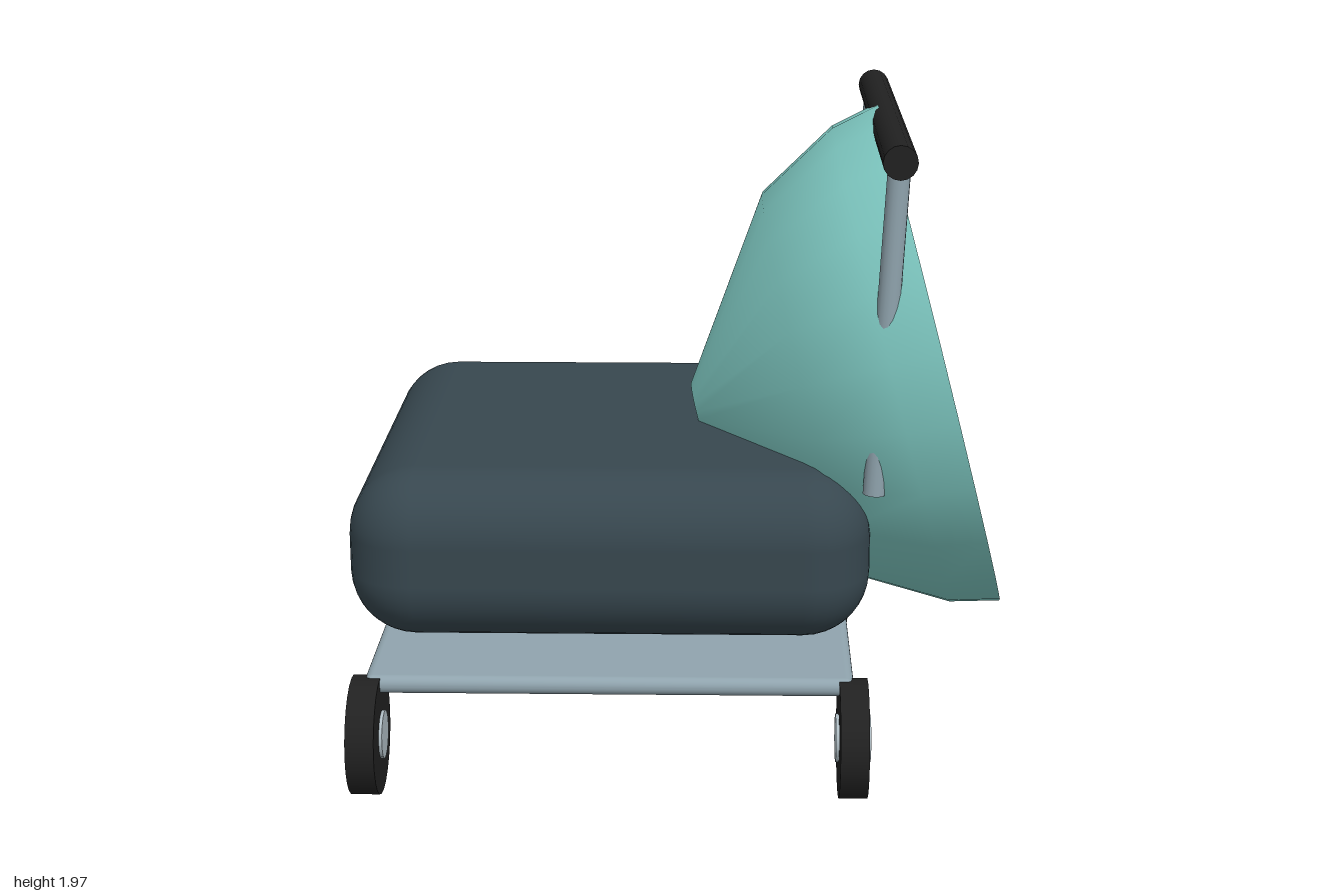
import * as THREE from 'three';
import { RoundedBoxGeometry } from 'three/addons/geometries/RoundedBoxGeometry.js';
import { toCreasedNormals } from 'three/addons/utils/BufferGeometryUtils.js';

const paint = (color) => new THREE.MeshStandardMaterial({ color });
const charcoal = paint(0x37474f);
const teal = paint(0x80cbc4);
const steel = paint(0x90a4ae);
const black = paint(0x212121);
const hubGrey = paint(0xb0bec5);
teal.side = THREE.DoubleSide;

function add(parent, name, geometry, material, x = 0, y = 0, z = 0) {
  const mesh = new THREE.Mesh(geometry, material);
  mesh.name = name;
  mesh.position.set(x, y, z);
  parent.add(mesh);
  return mesh;
}

// Round bar between two points
function rod(parent, name, from, to, radius, material) {
  const a = new THREE.Vector3(...from), b = new THREE.Vector3(...to);
  const mesh = add(parent, name, new THREE.CylinderGeometry(radius, radius, a.distanceTo(b), 16), material);
  mesh.position.copy(a).add(b).multiplyScalar(0.5);
  mesh.quaternion.setFromUnitVectors(new THREE.Vector3(0, 1, 0), b.sub(a).normalize());
  return mesh;
}

export function createModel() {
  const model = new THREE.Group();
  model.name = 'stroller';

  // Padded body and flat base
  add(model, 'cushion', new RoundedBoxGeometry(1.55, 0.515, 1.555, 5, 0.2), charcoal, -0.225, 0.72, 0);
  add(model, 'basePlate', new RoundedBoxGeometry(1.46, 0.056, 1.47, 4, 0.027), steel, -0.225, 0.336, 0);

  // Canopy: a thin tilted bowl, outer wall out to the rim and inner wall back
  const profile = [
    [0, -0.78], [0.095, -0.78], [0.626, -0.415], [0.774, -0.153], [0.807, 0],
    [0.79, 0], [0.758, -0.148], [0.614, -0.402], [0.083, -0.765], [0, -0.765],
  ].map(([r, a]) => new THREE.Vector2(r, a));
  const bowl = toCreasedNormals(new THREE.LatheGeometry(profile, 24), 0.53);
  add(model, 'canopy', bowl, teal, 0.785, 1.18, 0).rotation.z = -1.314;

  // Push handle with two leaning posts
  rod(model, 'handleBar', [0.605, 1.915, -0.725], [0.605, 1.915, 0.725], 0.05, black);
  for (const side of [-1, 1]) {
    rod(model, 'handlePost', [0.605, 1.9, side * 0.677], [0.553, 0.93, side * 0.677], 0.033, steel);
  }

  // Four wheels, each with a hub slightly proud of the tyre
  for (const x of [-0.948, 0.503]) {
    for (const z of [-0.725, 0.725]) {
      const wheel = new THREE.Group();
      wheel.name = 'wheel';
      wheel.position.set(x, 0.179, z);
      wheel.rotation.z = Math.PI / 2;
      add(wheel, 'tyre', new THREE.CylinderGeometry(0.179, 0.179, 0.085, 24), black);
      add(wheel, 'hub', new THREE.CylinderGeometry(0.072, 0.072, 0.104, 16), hubGrey);
      model.add(wheel);
    }
  }
  return model;
}
